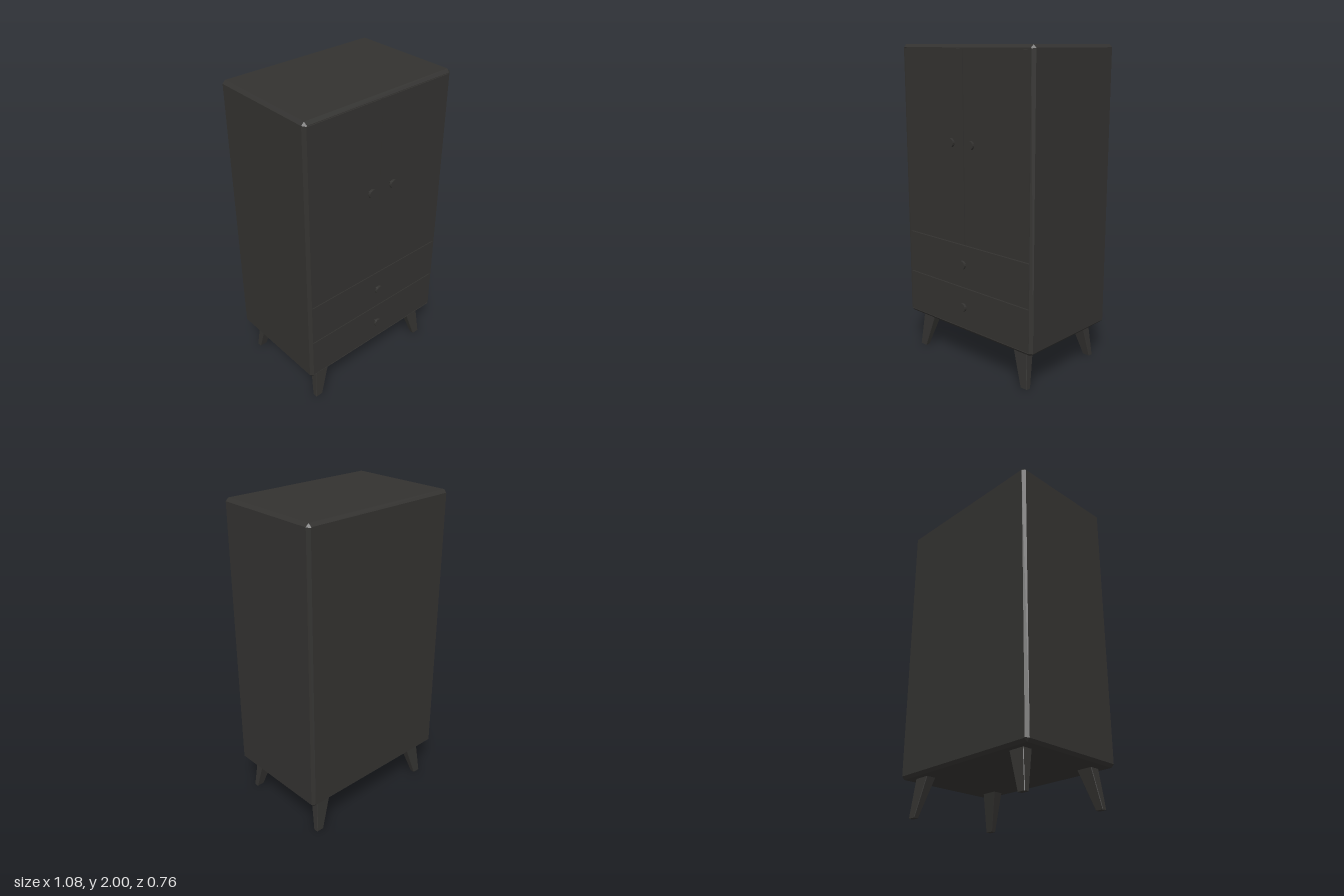
import * as THREE from 'three';

const darkWood = new THREE.MeshStandardMaterial({ color: 0x333230, flatShading: true });

// Loft through cross-sections [{ z, pts: [[x, y], ...] }], counter-clockwise, with end caps
function loft(sections) {
  const pos = [];
  const tri = (...corners) => corners.forEach(([p, z]) => pos.push(p[0], p[1], z));
  const n = sections[0].pts.length;
  for (let s = 0; s < sections.length - 1; s++) {
    const a = sections[s], b = sections[s + 1];
    for (let i = 0; i < n; i++) {
      const j = (i + 1) % n;
      tri([a.pts[i], a.z], [a.pts[j], a.z], [b.pts[j], b.z]);
      tri([a.pts[i], a.z], [b.pts[j], b.z], [b.pts[i], b.z]);
    }
  }
  const first = sections[0], last = sections[sections.length - 1];
  for (let i = 1; i < n - 1; i++) {
    tri([first.pts[0], first.z], [first.pts[i + 1], first.z], [first.pts[i], first.z]);
    tri([last.pts[0], last.z], [last.pts[i], last.z], [last.pts[i + 1], last.z]);
  }
  const g = new THREE.BufferGeometry();
  g.setAttribute('position', new THREE.Float32BufferAttribute(pos, 3));
  g.computeVertexNormals();
  return g;
}

// Rectangle with its corners cut by c
function cutRect(x0, x1, y0, y1, c) {
  return [[x0 + c, y0], [x1 - c, y0], [x1, y0 + c], [x1, y1 - c],
    [x1 - c, y1], [x0 + c, y1], [x0, y1 - c], [x0, y0 + c]];
}

export function createModel() {
  const model = new THREE.Group();
  const add = (name, geometry, x = 0, y = 0, z = 0) => {
    const mesh = new THREE.Mesh(geometry, darkWood);
    mesh.name = name;
    mesh.position.set(x, y, z);
    model.add(mesh);
    return mesh;
  };

  // Carcass: chamfered on every edge, with a shallow recess in the front
  const outline = (z, inset, c) => ({
    z, pts: cutRect(-0.54 + inset, 0.54 - inset, 0.238 + inset, 2 - inset, c),
  });
  add('carcass', loft([
    outline(-0.38, 0.018, 0.004),
    outline(-0.362, 0, 0.018),
    outline(0.329, 0, 0.018),
    outline(0.347, 0.018, 0.004),
    outline(0.347, 0.021, 0.002),
    outline(0.331, 0.021, 0.002),
  ]));

  // Doors and drawer fronts, separated by narrow gaps
  const panel = (name, x0, x1, y0, y1) =>
    add(name, new THREE.BoxGeometry(x1 - x0, y1 - y0, 0.016), (x0 + x1) / 2, (y0 + y1) / 2, 0.337);
  panel('rightDoor', -0.516, -0.003, 0.806, 1.974);
  panel('leftDoor', 0.003, 0.516, 0.806, 1.974);
  panel('upperDrawer', -0.516, 0.516, 0.53, 0.8);
  panel('lowerDrawer', -0.516, 0.516, 0.26, 0.524);

  // Knobs: a cone flaring out to a flat disc
  const knob = new THREE.LatheGeometry(
    [[0, 0], [0.006, 0], [0.006, 0.006], [0.027, 0.02], [0.027, 0.035], [0, 0.035]]
      .map(([r, h]) => new THREE.Vector2(r, h)), 16).rotateX(Math.PI / 2);
  for (const [name, x, y] of [['rightDoorKnob', -0.083, 1.43], ['leftDoorKnob', 0.083, 1.43],
    ['upperDrawerKnob', 0, 0.685], ['lowerDrawerKnob', 0, 0.408]]) add(name, knob, x, y, 0.345);

  // Splayed, tapered legs
  for (const sx of [-1, 1]) for (const sz of [-1, 1]) {
    const section = (y, x, z, w, d) => {
      const cx = sx * x, cy = -(sz * z - 0.015);
      return { z: y, pts: cutRect(cx - w / 2, cx + w / 2, cy - d / 2, cy + d / 2, 0.003) };
    };
    const leg = loft([section(0, 0.455, 0.312, 0.052, 0.032), section(0.242, 0.402, 0.275, 0.106, 0.066)]);
    add((sz > 0 ? 'front' : 'back') + (sx > 0 ? 'Left' : 'Right') + 'Leg', leg.rotateX(-Math.PI / 2));
  }
  return model;
}
